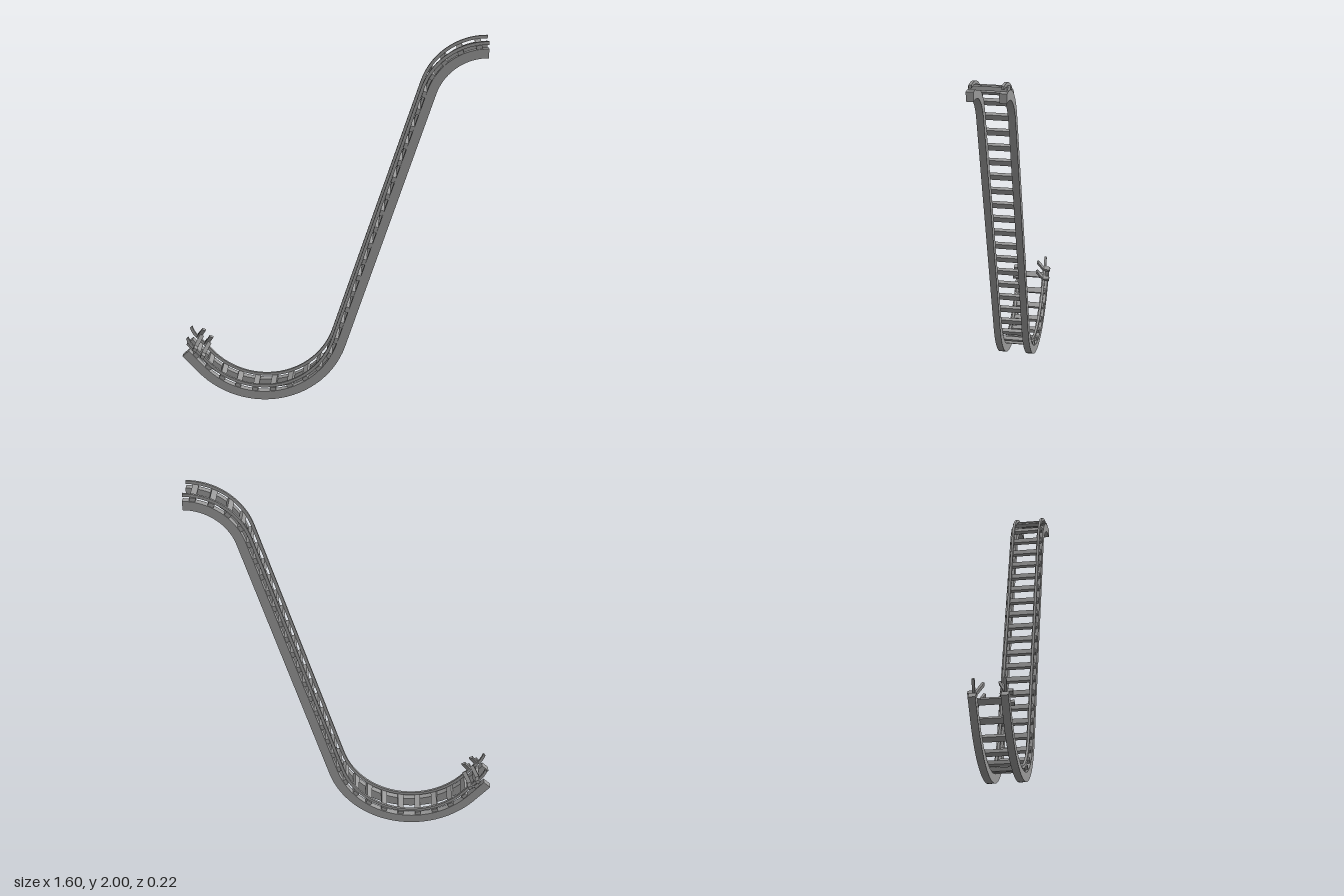
import * as THREE from 'three';
import { toCreasedNormals } from 'three/addons/utils/BufferGeometryUtils.js';

const DEG = Math.PI / 180;
const TIE = 0.057;                       // height of the ties above the beam underside
const DIP = { x: -0.365, y: 0.473, r: 0.473 };
const CREST = { x: 0.8, y: 1.648, r: 0.272 };
const A0 = 48 * DEG, A1 = 72 * DEG;      // entry and climb slopes

// section lengths, measured at tie height
const L1 = 0.125;
const L2 = (A0 + A1) * (DIP.r - TIE);
const L3 = 1.477;
const L4 = A1 * (CREST.r + TIE);
const TOTAL = L1 + L2 + L3 + L4;

// underside point and slope of the track at distance s
function track(s) {
  if (s < L1) {
    const d = s - L1;
    return { x: DIP.x - DIP.r * Math.sin(A0) + d * Math.cos(A0),
      y: DIP.y - DIP.r * Math.cos(A0) - d * Math.sin(A0), a: -A0 };
  }
  if (s < L1 + L2) {
    const a = -A0 + (s - L1) / (DIP.r - TIE);
    return { x: DIP.x + DIP.r * Math.sin(a), y: DIP.y - DIP.r * Math.cos(a), a };
  }
  if (s < L1 + L2 + L3) {
    const d = s - L1 - L2;
    return { x: DIP.x + DIP.r * Math.sin(A1) + d * Math.cos(A1),
      y: DIP.y - DIP.r * Math.cos(A1) + d * Math.sin(A1), a: A1 };
  }
  const a = A1 - (s - L1 - L2 - L3) / (CREST.r + TIE);
  return { x: CREST.x - CREST.r * Math.sin(a), y: CREST.y + CREST.r * Math.cos(a), a };
}

// point at height h above the underside
function above(s, h) {
  const p = track(s);
  return new THREE.Vector2(p.x - Math.sin(p.a) * h, p.y + Math.cos(p.a) * h);
}

// band following the track between two heights, width w across z
function band(s0, h0, h1, w, lift = () => 0) {
  const stops = [];
  const cuts = [s0, 0, L1, L1 + L2, L1 + L2 + L3, TOTAL];
  const counts = [6, 1, 28, 1, 18];
  counts.forEach((n, k) => {
    if (cuts[k + 1] <= cuts[k]) return;
    for (let i = 0; i < n; i++) stops.push(cuts[k] + (cuts[k + 1] - cuts[k]) * i / n);
  });
  stops.push(TOTAL);
  const low = stops.map(s => above(s, h0 + lift(s)));
  const high = stops.map(s => above(s, h1 + lift(s))).reverse();
  const geo = new THREE.ExtrudeGeometry(new THREE.Shape([...low, ...high]),
    { depth: w, bevelEnabled: false });
  geo.translate(0, 0, -w / 2);
  return toCreasedNormals(geo, 0.5);
}

export function createModel() {
  const model = new THREE.Group();
  model.name = 'coasterTrack';
  const steel = new THREE.MeshStandardMaterial({ color: 0x999999 });
  steel.name = 'grey steel';

  const add = (geo, name, x = 0, y = 0, z = 0) => {
    const mesh = new THREE.Mesh(geo, steel);
    mesh.name = name;
    mesh.position.set(x, y, z);
    model.add(mesh);
    return mesh;
  };

  // side beams and the running rails, whose lower ends curl up
  const beam = band(0, 0, 0.048, 0.036);
  const rail = band(-0.057, 0.066, 0.082, 0.013, s => (s < 0 ? 0.014 * (s / 0.057) ** 2 : 0));
  for (const side of [1, -1]) {
    add(beam, side > 0 ? 'leftBeam' : 'rightBeam', 0, 0, side * 0.077);
    add(rail, side > 0 ? 'leftRail' : 'rightRail', 0, 0, side * 0.075);
  }

  // cross ties
  const tie = new THREE.BoxGeometry(0.031, 0.02, 0.18);
  for (let i = 0; i < 30; i++) {
    const s = TOTAL - 0.05 - i * 0.0962;
    const p = above(s, TIE);
    add(tie, 'crossTie', p.x, p.y).rotation.z = track(s).a;
  }

  // guide brackets at the low end: outward peg and inward-leaning finger
  const peg = new THREE.BoxGeometry(0.022, 0.02, 0.045);
  const finger = new THREE.BoxGeometry(0.022, 0.08, 0.012);
  const up = new THREE.Vector3(0, 1, 0);
  for (const [x, y] of [[-0.73, 0.293], [-0.69, 0.252]]) {
    for (const side of [1, -1]) {
      add(peg, 'bracketPeg', x, y, side * 0.085).rotation.z = -30 * DEG;
      const lean = new THREE.Vector3(0.034, 0.059, -side * 0.03).normalize();
      const f = add(finger, 'bracketFinger', x + 0.015, y + 0.028, side * 0.055);
      f.quaternion.setFromUnitVectors(up, lean);
    }
  }
  return model;
}
